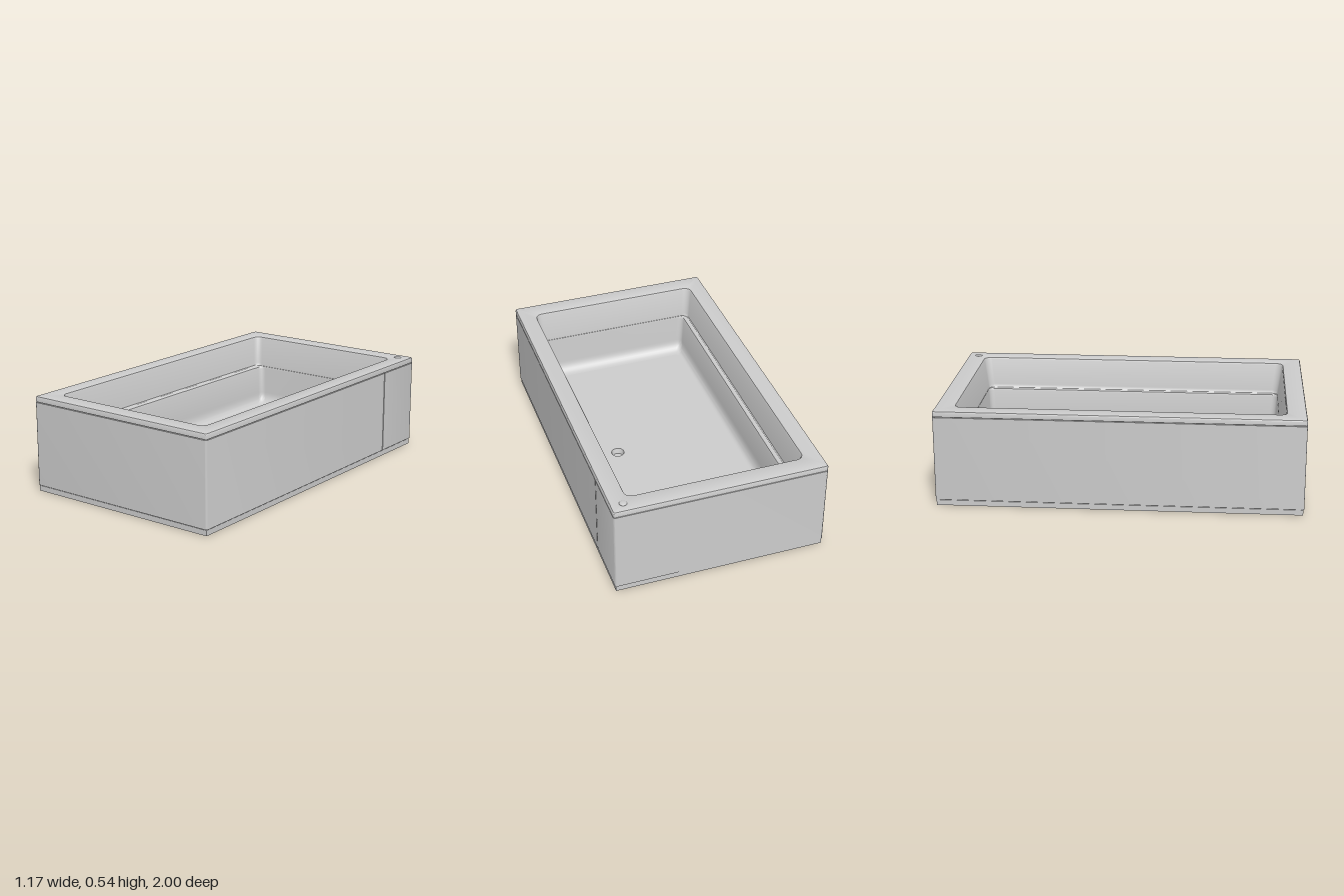
import * as THREE from 'three';
import { toCreasedNormals } from 'three/addons/utils/BufferGeometryUtils.js';

const HX = 0.587, HZ = 1, FLOOR = 0.12;
const DRAIN = { x: 0.267, z: -0.03, r: 0.036 };

// Rounded rectangle as [x, z] points, from the +x +z corner round to the +x -z corner
function ring(xMin, xMax, hz, r, seg = 6) {
  const pts = [];
  [[xMax, 1], [xMin, 1], [xMin, -1], [xMax, -1]].forEach(([x, sz], k) => {
    const cx = x === xMax ? x - r : x + r;
    for (let i = 0; i <= seg; i++) {
      const a = (k + i / seg) * Math.PI / 2;
      pts.push([cx + r * Math.cos(a), sz * (hz - r) + r * Math.sin(a)]);
    }
  });
  return pts;
}

// Skin over a stack of rings: each row is [y, xMin, xMax, hz, radius]
function loft(rows) {
  const pos = [], idx = [];
  const n = ring(-1, 1, 1, 0.1).length;
  rows.forEach(([y, ...r]) => ring(...r).forEach(([x, z]) => pos.push(x, y, z)));
  for (let i = 0; i < rows.length - 1; i++) {
    for (let j = 0; j < n; j++) {
      const a = i * n + j, b = i * n + (j + 1) % n;
      idx.push(a, a + n, b, b, a + n, b + n);
    }
  }
  const g = new THREE.BufferGeometry();
  g.setAttribute('position', new THREE.Float32BufferAttribute(pos, 3));
  g.setIndex(idx);
  return toCreasedNormals(g, 0.6);
}

// Upright wall between y0 and y1 from an [x, z] outline and optional hole
function wall(points, hole, y0, y1) {
  const shape = new THREE.Shape(points.map(p => new THREE.Vector2(...p)));
  if (hole) shape.holes.push(new THREE.Path(hole.map(p => new THREE.Vector2(...p))));
  const g = new THREE.ExtrudeGeometry(shape, { depth: y1 - y0, bevelEnabled: false });
  g.rotateX(Math.PI / 2).translate(0, y1, 0);
  return toCreasedNormals(g, 0.6);
}

export function createModel() {
  const group = new THREE.Group();
  const mat = new THREE.MeshStandardMaterial({ color: 0xcccccc });
  const both = new THREE.MeshStandardMaterial({ color: 0xcccccc, side: THREE.DoubleSide });
  const add = (name, geometry, material = mat) => {
    const m = new THREE.Mesh(geometry, material);
    m.name = name;
    group.add(m);
    return m;
  };

  // Plinth
  add('plinth', new THREE.BoxGeometry(1.164, 0.03, 1.99)).position.y = 0.015;

  // Recessed frame behind the panels, seen through the narrow gaps
  add('innerFrame', wall(ring(-0.577, 0.577, 0.99, 0.01), ring(-0.55, 0.55, 0.96, 0.01), 0.03, 0.507));

  // Wrap-round side panel, open at a vertical seam on the +x side
  const seam = -0.677, gap = 0.006, t = 0.008;
  const outer = [[HX, seam], ...ring(-HX, HX, HZ, 0.01), [HX, seam - gap]];
  const inner = [[HX - t, seam], ...ring(t - HX, HX - t, HZ - t, 0.002), [HX - t, seam - gap]];
  add('sidePanels', wall([...outer, ...inner.reverse()], null, 0.034, 0.503));

  // Rim and basin in one skin, with a ledge along each long wall
  const rows = [
    [0.507, -0.55, 0.55, 0.96, 0.01],
    [0.507, -HX, HX, HZ, 0.01],
    [0.530, -HX, HX, HZ, 0.01],
    [0.536, -0.584, 0.584, 0.997, 0.01],
    [0.538, -0.579, 0.579, 0.992, 0.01],
    [0.538, -0.500, 0.496, 0.902, 0.045],
    [0.535, -0.493, 0.490, 0.896, 0.042],
    [0.525, -0.488, 0.486, 0.892, 0.040],
    [0.375, -0.473, 0.473, 0.872, 0.036],
    [0.361, -0.470, 0.471, 0.870, 0.035],
    [0.356, -0.464, 0.467, 0.870, 0.034],
    [0.355, -0.450, 0.457, 0.869, 0.033],
    [0.351, -0.443, 0.452, 0.869, 0.032],
    [0.340, -0.439, 0.449, 0.868, 0.032],
  ];
  // Cove from the lower walls into the floor
  for (let i = 0; i <= 8; i++) {
    const a = i / 8 * Math.PI / 2, c = 1 - Math.cos(a), s = 1 - Math.sin(a);
    rows.push([FLOOR + 0.07 * s, -0.43 + 0.035 * c, 0.445 - 0.025 * c, 0.86 - 0.06 * c, 0.031]);
  }
  add('rimAndBasin', loft(rows));

  // Basin floor with a drain hole
  const [, ...last] = rows[rows.length - 1];
  const floor = new THREE.Shape(ring(...last).map(([x, z]) => new THREE.Vector2(x, -z)));
  floor.holes.push(new THREE.Path().absarc(DRAIN.x, -DRAIN.z, DRAIN.r, 0, Math.PI * 2));
  add('basinFloor', new THREE.ShapeGeometry(floor, 12).rotateX(-Math.PI / 2).translate(0, FLOOR, 0));

  // Drain cup
  const cup = [[0, -0.03], [0.028, -0.03], [DRAIN.r, 0]].map(p => new THREE.Vector2(...p));
  add('drain', toCreasedNormals(new THREE.LatheGeometry(cup, 24), 0.6), both)
    .position.set(DRAIN.x, FLOOR, DRAIN.z);

  // Domed button on the rim
  const button = add('rimButton', new THREE.SphereGeometry(0.021, 24, 8, 0, Math.PI * 2, 0, Math.PI / 2));
  button.scale.y = 0.33;
  button.position.set(0.518, 0.538, -0.94);

  return group;
}
